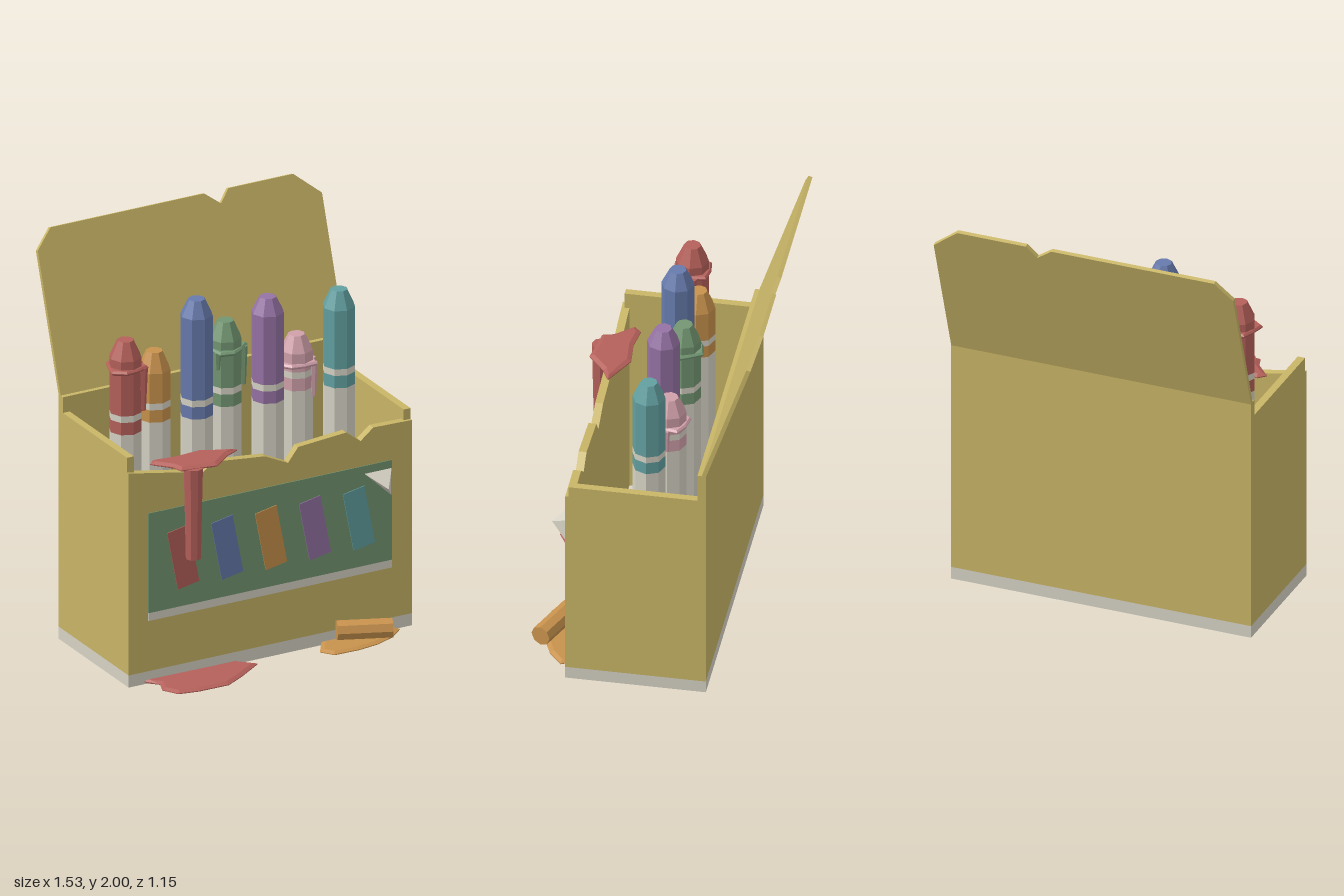
import * as THREE from 'three';

export function createModel() {
  const root = new THREE.Group();
  const mat = (name, color) => {
    const m = new THREE.MeshStandardMaterial({ color });
    m.name = name;
    return m;
  };
  const gold = mat('gold card', 0xc8b566), white = mat('paper white', 0xd6d2c4);
  const red = mat('red wax', 0xb5605a), orange = mat('orange wax', 0xc8924c);
  const blue = mat('blue wax', 0x667aac), green = mat('green wax', 0x739672);
  const purple = mat('purple wax', 0x9572a4), pink = mat('pink wax', 0xd0a0aa);
  const teal = mat('teal wax', 0x629fa0);

  const add = (name, geo, m, parent = root) => {
    const mesh = new THREE.Mesh(geo, m);
    mesh.name = name;
    parent.add(mesh);
    return mesh;
  };
  // Box given by its limits
  const box = (name, m, x0, x1, y0, y1, z0, z1) => add(name,
    new THREE.BoxGeometry(x1 - x0, y1 - y0, z1 - z0)
      .translate((x0 + x1) / 2, (y0 + y1) / 2, (z0 + z1) / 2), m);
  // Faceted cylinder between two heights
  const prism = (rTop, rBottom, y0, y1, sides = 8) => {
    const g = new THREE.CylinderGeometry(rTop, rBottom, y1 - y0, sides)
      .translate(0, (y0 + y1) / 2, 0).toNonIndexed();
    g.computeVertexNormals();
    return g;
  };
  const shape = pts => new THREE.Shape(pts.map(p => new THREE.Vector2(...p)));
  const plate = (pts, depth) =>
    new THREE.ExtrudeGeometry(shape(pts), { depth, bevelEnabled: false });
  // Flat wax blob with a sloping rim, outline given in x and z
  const blob = (pts, y0, y1, rim = 0.02) => {
    const t = (y1 - y0) * 0.4;
    return new THREE.ExtrudeGeometry(shape(pts), {
      depth: y1 - y0 - 2 * t, bevelThickness: t, bevelSize: rim,
      bevelOffset: -rim, bevelSegments: 1,
    }).rotateX(Math.PI / 2).translate(0, y1 - t, 0);
  };

  // Carton
  const W = 0.765, F = 0.347, B = -0.325, base = 0.062;
  box('base', white, -W, W, 0, base, B, F);
  box('backWall', gold, -W, W, base, 1.25, B, B + 0.04);
  box('leftWall', gold, W - 0.037, W, base, 1.105, B + 0.04, F - 0.015);
  box('rightWall', gold, -W, -W + 0.037, base, 1.17, B + 0.04, F - 0.015);
  add('tornFrontWall', plate([
    [-W, base], [W, base], [W, 1.05], [0.555, 1.055], [0.487, 1.0], [0.41, 1.06],
    [0.15, 1.04], [0.095, 0.97], [-0.03, 1.03], [-0.31, 1.06], [-0.36, 1.02], [-W, 1.095],
  ], 0.038).translate(0, 0, F - 0.038), gold);

  // Open lid, leaning back
  const k = 0.79 / 0.75;
  const lid = add('lid', plate([
    [-W, 0], [W, 0], [W, 0.64 * k], [0.63, 0.75 * k], [0.28, 0.75 * k],
    [0.23, 0.69 * k], [0.15, 0.75 * k], [-0.68, 0.75 * k], [-W, 0.66 * k],
  ], 0.02), gold);
  lid.position.set(0, 1.245, B);
  lid.rotation.x = -Math.atan2(0.25, 0.75);

  // Label with slanted colour bars and a folded corner
  box('labelPanel', green, -0.66, 0.655, 0.36, 0.87, F, F + 0.004);
  box('labelStrip', white, -0.66, 0.655, 0.32, 0.36, F, F + 0.004);
  [red, blue, orange, purple, teal].forEach((m, i) => {
    const bar = add('labelBar', new THREE.BoxGeometry(0.117, 0.305, 0.004), m);
    bar.position.set(-0.474 + i * 0.237, 0.61, F + 0.006);
    bar.rotation.z = 0.19;
  });
  const a = [0.505, 0.83, 0.352], b = [0.652, 0.83, 0.352];
  const c = [0.652, 0.69, 0.352], d = [0.585, 0.767, 0.442];
  const fold = new THREE.BufferGeometry();
  fold.setAttribute('position', new THREE.Float32BufferAttribute(
    [a, d, b, b, d, c, a, c, d, a, b, c].flat(), 3));
  fold.computeVertexNormals();
  add('foldedCorner', fold, white);

  // Crayons: colour, shoulder height, tip height
  const r = 0.079;
  const crayons = [
    ['redCrayon', red, 1.52, 1.605], ['orangeCrayon', orange, 1.395, 1.487],
    ['blueCrayon', blue, 1.655, 1.735], ['greenCrayon', green, 1.475, 1.562],
    ['purpleCrayon', purple, 1.59, 1.667], ['pinkCrayon', pink, 1.335, 1.412],
    ['tealCrayon', teal, 1.54, 1.625],
  ].map(([name, m, shoulder, tip], i) => {
    const g = new THREE.Group();
    g.name = name;
    g.position.set(-0.576 + i * 0.192, 0, i === 1 || i === 3 || i === 5 ? -0.085 : -0.02);
    add('paperSleeve', prism(r, r, base, 1.147), white, g);
    add('colourBand', prism(r, r, 1.147, 1.21), m, g);
    add('paperBand', prism(r, r, 1.21, 1.243), white, g);
    add('waxBody', prism(r, r, 1.243, shoulder), m, g);
    add('tip', prism(0.04, r, shoulder, tip), m, g);
    root.add(g);
    return g;
  });

  // Melted collars with drips; each drip is x, z, bottom, radius
  const melt = (g, m, y, turn, drips) => {
    const radii = [0.108, 0.088, 0.1, 0.112, 0.086, 0.102, 0.092, 0.108, 0.084];
    const pts = radii.map((q, i) => {
      const t = turn + i / radii.length * Math.PI * 2;
      return [Math.cos(t) * q, Math.sin(t) * q];
    });
    add('meltedCollar', blob(pts, y - 0.012, y + 0.01, 0.008), m, g);
    drips.forEach(([x, z, y0, q]) =>
      add('drip', prism(q, q * 0.6, y0, y, 6).translate(x, 0, z), m, g));
  };
  melt(crayons[0], red, 1.468, 0.6, [[0.066, 0.05, 1.25, 0.024], [0.085, -0.02, 1.34, 0.016]]);
  melt(crayons[3], green, 1.425, 0.2, [[0.08, 0.03, 1.23, 0.02], [-0.07, 0.05, 1.34, 0.018]]);
  melt(crayons[5], pink, 1.275, 0.9, [[0.06, 0.055, 1.1, 0.02], [0.085, 0.0, 1.16, 0.016]]);

  // Red wax spilling over the front wall
  add('redSpill', blob([
    [-0.6, 0.26], [-0.565, 0.225], [-0.455, 0.24], [-0.325, 0.228], [-0.27, 0.255],
    [-0.16, 0.31], [-0.23, 0.345], [-0.33, 0.428], [-0.435, 0.41], [-0.51, 0.4], [-0.525, 0.345],
  ], 1.062, 1.087), red);
  add('redRun', prism(0.047, 0.037, 0.612, 1.075).translate(-0.44, 0, 0.39), red);

  // Puddles on the ground
  add('redPuddle', blob([
    [-0.685, 0.34], [-0.63, 0.41], [-0.655, 0.475], [-0.61, 0.55], [-0.51, 0.57],
    [-0.35, 0.572], [-0.25, 0.515], [-0.11, 0.42], [-0.19, 0.34],
  ], 0.001, 0.022), red);
  add('orangePuddle', blob([
    [0.28, 0.34], [0.215, 0.44], [0.26, 0.502], [0.39, 0.506], [0.5, 0.49],
    [0.6, 0.45], [0.677, 0.385], [0.655, 0.34],
  ], 0.001, 0.022), orange);

  // Broken crayon stub lying on its side
  const stub = add('brokenStub', prism(0.05, 0.05, -0.132, 0.132).rotateZ(Math.PI / 2), orange);
  stub.position.set(0.45, 0.085, 0.45);
  stub.rotation.y = -0.39;

  return root;
}
